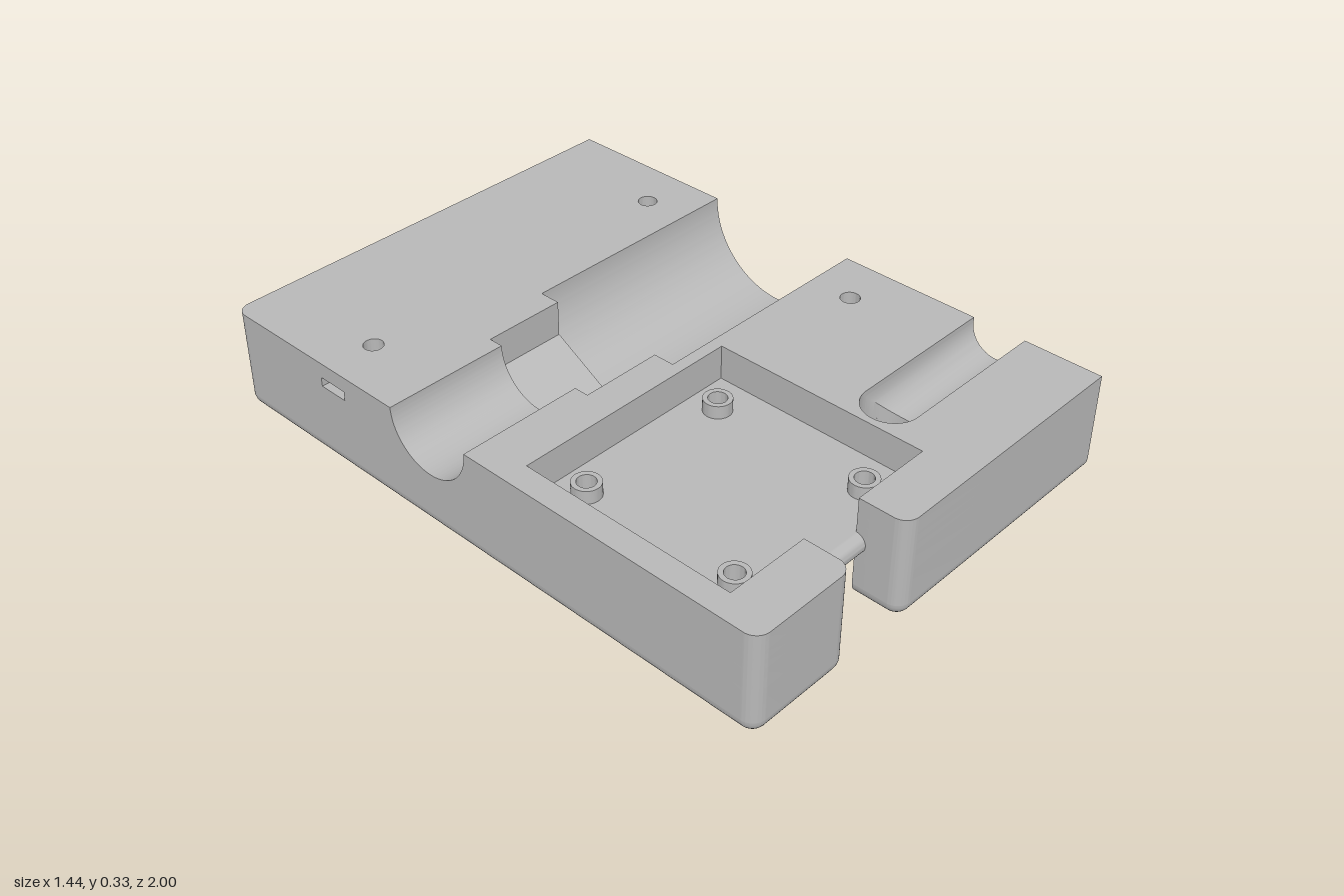
import * as THREE from 'three';
import { toCreasedNormals } from 'three/addons/utils/BufferGeometryUtils.js';

const R = 0.045;                 // edge rounding
const TOP = 0.33;
const PI = Math.PI;
const HOLE = { x: 0.22, z: 0.66, r: 0.087 };   // cable hole and groove
const AXIS_Z = -0.157;           // centre line of the stepped channel

const circle = (x, z, r) => new THREE.Path().absarc(x, z, r, 0, PI * 2, false);

// Plan shape (x, z) extruded between two heights
function slab(shape, y0, y1, steps = 1) {
  const g = new THREE.ExtrudeGeometry(shape, { depth: y1 - y0, steps, bevelEnabled: false, curveSegments: 20 });
  return g.rotateX(PI / 2).translate(0, y1, 0);
}

// Detours of the front outline around the pockets, from the notch's right to its left
function lowerPocket(s) {
  s.lineTo(0.11, 0.845);
  s.absarc(HOLE.x, HOLE.z, HOLE.r, PI / 3, 0, true);
  s.absarc(HOLE.x, 0.232, HOLE.r, 0, -PI / 2, true);
  s.lineTo(-0.64, 0.145).lineTo(-0.64, 0.845);
}
function upperPocket(s) {
  s.lineTo(0.11, 0.845).lineTo(0.11, 0.145).lineTo(-0.64, 0.145).lineTo(-0.64, 0.845);
}

// Plan outline from zBack to the notched front
function frontShape(zBack, { pocket, slot, groove, holes = [] }) {
  const s = new THREE.Shape();
  s.moveTo(0.72, zBack);
  if (slot) s.lineTo(0.72, 0.21).lineTo(0.5, 0.21).lineTo(0.5, 0.31).lineTo(0.72, 0.31);
  if (groove) {
    s.lineTo(0.72, HOLE.z - HOLE.r);
    s.absarc(HOLE.x, HOLE.z, HOLE.r, -PI / 2, -1.5 * PI, true);
    s.lineTo(0.72, HOLE.z + HOLE.r);
  }
  s.lineTo(0.72, 1);
  s.absarc(-0.155 + R, 1 - R, R, PI / 2, PI, false);
  s.lineTo(-0.155, 0.845);
  if (pocket) pocket(s);
  s.lineTo(-0.37, 0.845);
  s.absarc(-0.37 - R, 1 - R, R, 0, PI / 2, false);
  s.absarc(-0.72 + R, 1 - R, R, PI / 2, PI, false);
  if (zBack < -0.9) s.absarc(-0.72 + R, -1 + R, R, PI, 1.5 * PI, false);
  else s.lineTo(-0.72, zBack);
  s.holes = holes;
  return s;
}

// Plan outline of the back part, optionally with side slots
function backShape(slots) {
  const s = new THREE.Shape();
  s.moveTo(0.72, -0.45).lineTo(-0.72, -0.45);
  if (slots) s.lineTo(-0.72, -0.51).lineTo(-0.5, -0.51).lineTo(-0.5, -0.61).lineTo(-0.72, -0.61);
  s.absarc(-0.72 + R, -1 + R, R, PI, 1.5 * PI, false);
  s.lineTo(0.72, -1);
  if (slots) s.lineTo(0.72, -0.61).lineTo(0.5, -0.61).lineTo(0.5, -0.51).lineTo(0.72, -0.51);
  else s.holes = [circle(0.555, -0.57, 0.03), circle(-0.56, -0.57, 0.03)];
  return s;
}

// Bottom slab whose outer edges (all but the right side) roll inward
function roundedBase() {
  const holes = [circle(0.555, -0.57, 0.03), circle(-0.56, -0.57, 0.03), circle(0.555, 0.25, 0.03)];
  const g = slab(frontShape(-1, { pocket: lowerPocket, holes }), 0, R, 8);
  const p = g.attributes.position;
  for (let i = 0; i < p.count; i++) {
    const x = p.getX(i), z = p.getZ(i), a = (p.getY(i) / R) * PI / 2;
    const k = Math.max(Math.sin(a), 0.02);
    const lo = z > 0.84 && x > -0.3 ? -0.155 + R : -0.72 + R;
    const hi = z > 0.84 && x < -0.3 ? -0.37 - R : 10;
    const cx = THREE.MathUtils.clamp(x, lo, hi), cz = THREE.MathUtils.clamp(z, -1 + R, 1 - R);
    p.setXYZ(i, cx + (x - cx) * k, R * (1 - Math.cos(a)), cz + (z - cz) * k);
  }
  return g;
}

// Length of the channel: n-sided half cut of radius r, extruded along x
function channel(x0, x1, r, n) {
  const s = new THREE.Shape(), c = -AXIS_Z;
  s.moveTo(-0.125, R).lineTo(0.45, R).lineTo(0.45, TOP);
  if (n === 6) {
    const w = r * Math.cos(PI / 6);
    s.lineTo(c + w, TOP).lineTo(c + w, TOP - r / 2).lineTo(c, TOP - r).lineTo(c - w, TOP - r / 2).lineTo(c - w, TOP);
  } else s.absarc(c, TOP, r, 0, -PI, true);
  s.lineTo(-0.125, TOP);
  const g = new THREE.ExtrudeGeometry(s, { depth: x1 - x0, bevelEnabled: false, curveSegments: n });
  return g.rotateY(PI / 2).translate(x0, 0, 0);
}

// Curved bed of the cable groove, cut off by the round hole
function grooveBed(y0) {
  const pos = [], idx = [], n = 24, cy = 0.3125;
  for (let i = 0; i <= n; i++) {
    const t = -PI / 2 + (PI * i) / n, c = HOLE.r * Math.cos(t), z = HOLE.z + HOLE.r * Math.sin(t);
    const xs = HOLE.x + c, yf = cy - c;
    pos.push(xs, y0, z, xs, yf, z, 0.72, yf, z, 0.72, y0, z);
    if (i < n) for (let j = 0; j < 3; j++) {
      const a = i * 4 + j, b = a + 4;
      idx.push(a, b, a + 1, b, b + 1, a + 1);
    }
  }
  const g = new THREE.BufferGeometry();
  g.setAttribute('position', new THREE.Float32BufferAttribute(pos, 3));
  g.setIndex(idx);
  return g;
}

export function createModel() {
  const model = new THREE.Group();
  model.name = 'housingHalf';
  const grey = new THREE.MeshStandardMaterial({ color: 0xb8b8b8 });
  grey.name = 'grey plastic';
  grey.side = THREE.DoubleSide;
  const add = (name, geometry) => {
    const m = new THREE.Mesh(toCreasedNormals(geometry, 0.5), grey);
    m.name = name;
    model.add(m);
  };

  add('roundedBase', roundedBase());

  // Back part, with nut slots between two plain layers
  add('backLower', slab(backShape(false), R, 0.25));
  add('backSlotLayer', slab(backShape(true), 0.25, 0.28));
  add('backUpper', slab(backShape(false), 0.28, TOP));

  // Stepped channel: small bore, hexagonal seat, large bore
  add('smallChannel', channel(-0.72, -0.315, 0.148, 40));
  add('hexSeat', channel(-0.315, -0.05, 0.225, 6));
  add('largeChannel', channel(-0.05, 0.72, 0.263, 48));

  // Front part in layers
  const screw = () => circle(0.555, 0.25, 0.03);
  const posts = [];
  for (const x of [-0.52, -0.01]) for (const z of [0.24, 0.755]) posts.push([x, z]);
  const zb = 0.125;
  add('frontLower', slab(frontShape(zb, { pocket: lowerPocket, holes: [screw()] }), R, 0.155));
  add('pocketFloor', slab(frontShape(zb, {
    holes: [screw(), circle(HOLE.x, HOLE.z, HOLE.r), ...posts.map(([x, z]) => circle(x, z, 0.035))],
  }), 0.155, 0.22));
  add('frontUpper', slab(frontShape(zb, { pocket: upperPocket, groove: true, holes: [screw()] }), 0.22, 0.25));
  add('frontSlotLayer', slab(frontShape(zb, { pocket: upperPocket, groove: true, slot: true }), 0.25, 0.28));
  add('frontRim', slab(frontShape(zb, { pocket: upperPocket, groove: true, holes: [screw()] }), 0.28, TOP));
  add('grooveBed', grooveBed(0.22));

  // Rounded lip of the floor across the notch
  add('notchLip', new THREE.CylinderGeometry(0.0325, 0.0325, 0.215, 32)
    .rotateZ(PI / 2).translate(-0.2625, 0.1875, 0.845));

  // Hollow mounting posts standing out of both sides of the floor
  for (const [x, z] of posts) {
    const ring = new THREE.Shape().absarc(x, z, 0.043, 0, PI * 2, false);
    ring.holes = [circle(x, z, 0.028)];
    add('mountingPost', slab(ring, 0.115, 0.262));
  }
  return model;
}
